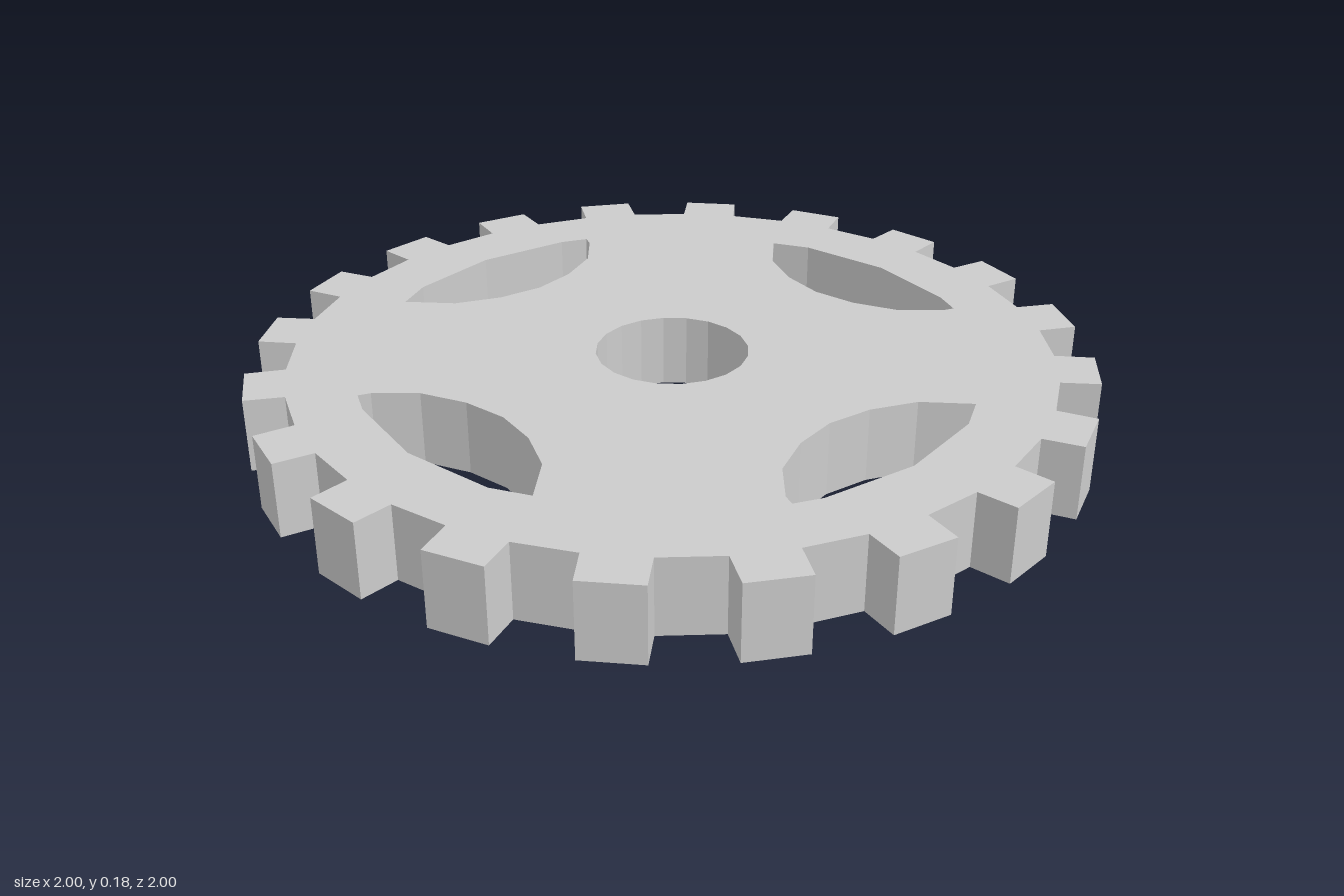
import * as THREE from 'three';

const TEETH = 20;
const THICKNESS = 0.18;

// Point at a radius and a clockwise angle in degrees from the top of the disc
const polar = (radius, degrees) => {
  const a = THREE.MathUtils.degToRad(degrees);
  return new THREE.Vector2(radius * Math.sin(a), radius * Math.cos(a));
};

// Outline, counter-clockwise: straight-sided teeth with straight valleys between them
function gearOutline() {
  const points = [];
  const step = 360 / TEETH;
  for (let i = 0; i < TEETH; i++) {
    const a = -i * step;
    points.push(polar(0.906, a), polar(1, a - 0.6), polar(1, a - 8.6), polar(0.906, a - 9));
  }
  return new THREE.Shape(points);
}

// Round bore for the axle
function boreHole() {
  const points = [];
  for (let i = 0; i < 20; i++) points.push(polar(0.183, (i * 360) / 20));
  return new THREE.Path(points);
}

// Lens-shaped window, turned about the centre
function windowHole(angle) {
  const lens = [
    [-0.307, 0.667], [-0.22, 0.714], [0.01, 0.751], [0.243, 0.712], [0.307, 0.683], [0.296, 0.655],
    [0.22, 0.573], [0.112, 0.524], [0, 0.506], [-0.112, 0.524], [-0.22, 0.573],
  ];
  const centre = new THREE.Vector2();
  return new THREE.Path(lens.map(([x, y]) => new THREE.Vector2(x, y).rotateAround(centre, angle)));
}

export function createModel() {
  const group = new THREE.Group();
  group.name = 'gear';

  const shape = gearOutline();
  shape.holes.push(boreHole());
  for (let i = 0; i < 4; i++) shape.holes.push(windowHole((i * Math.PI) / 2));

  // Toothed disc lying flat on the ground
  const geometry = new THREE.ExtrudeGeometry(shape, { depth: THICKNESS, bevelEnabled: false });
  geometry.rotateX(-Math.PI / 2);
  const disc = new THREE.Mesh(
    geometry,
    new THREE.MeshStandardMaterial({ color: 0xcccccc, flatShading: true })
  );
  disc.name = 'toothedDisc';
  group.add(disc);
  return group;
}
